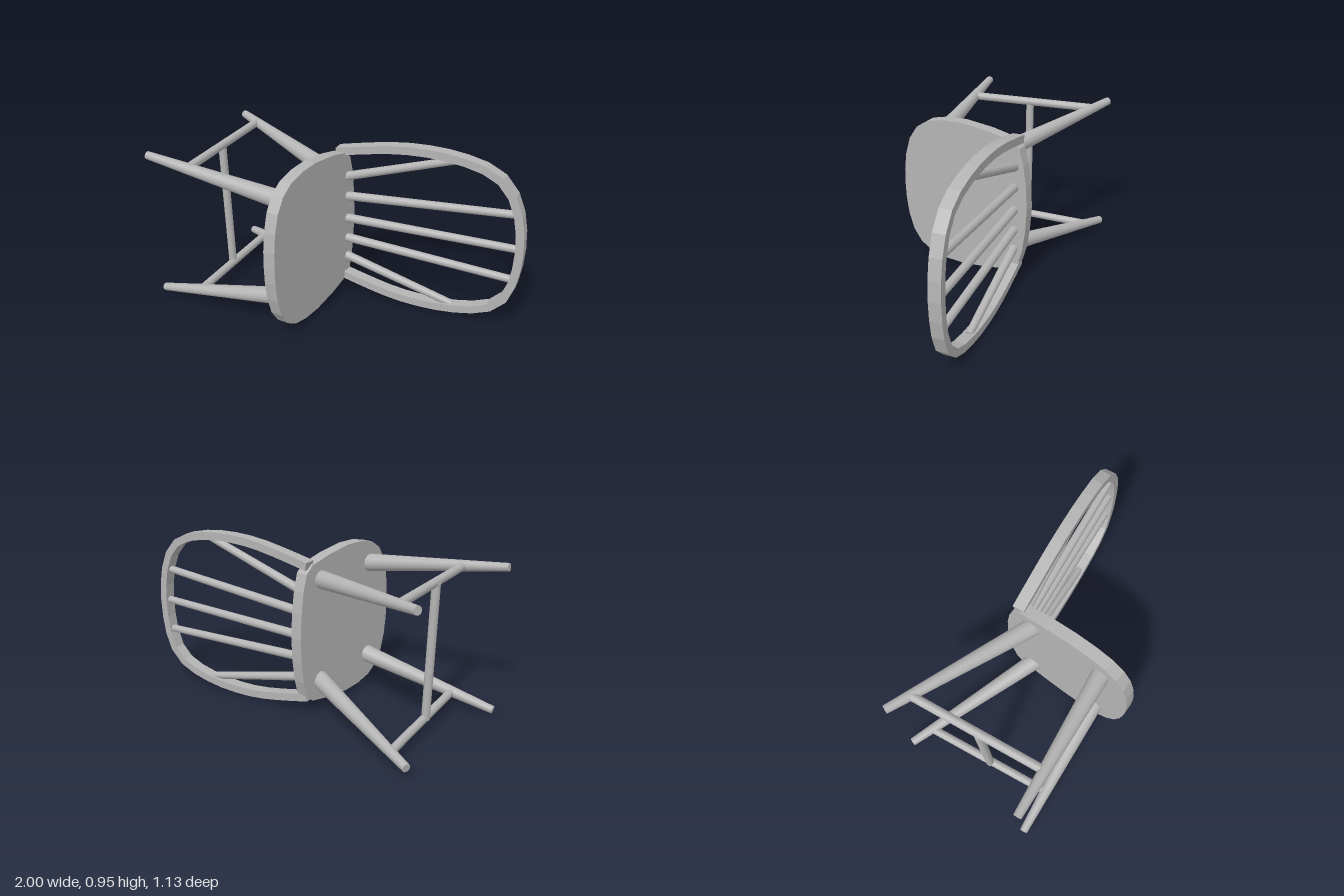
import * as THREE from 'three';

const V = (x, y, z) => new THREE.Vector3(x, y, z);

export function createModel() {
  const chair = new THREE.Group();
  chair.name = 'chair';
  const grey = new THREE.MeshStandardMaterial({ color: 0xb4b4b4 });
  grey.name = 'grey';

  const add = (name, geometry) => {
    const mesh = new THREE.Mesh(geometry, grey);
    mesh.name = name;
    chair.add(mesh);
    return mesh;
  };

  // Round bar between two points, with a radius at each end
  const bar = (name, a, b, ra, rb) => {
    const dir = b.clone().sub(a);
    const mesh = add(name, new THREE.CylinderGeometry(rb, ra, dir.length(), 14));
    mesh.position.copy(a).add(b).multiplyScalar(0.5);
    mesh.quaternion.setFromUnitVectors(V(0, 1, 0), dir.normalize());
  };

  // Board cut from an outline drawn in a tilted upright plane
  const board = (name, outline, depth, along, origin) => {
    const geometry = new THREE.ExtrudeGeometry(new THREE.Shape(outline), { depth, bevelEnabled: false });
    const u = along.normalize(), up = V(0, 1, 0);
    const m = new THREE.Matrix4().makeBasis(u, up, u.clone().cross(up)).setPosition(origin);
    add(name, geometry.applyMatrix4(m));
  };

  // Seat: [distance from rear, half width], mirrored; the chair lies on its side
  const half = [[0, 0], [0.008, 0.14], [0.025, 0.26], [0.05, 0.35], [0.1, 0.39], [0.24, 0.42],
    [0.4, 0.438], [0.52, 0.433], [0.62, 0.41], [0.69, 0.365], [0.74, 0.29], [0.77, 0.19], [0.783, 0.09], [0.786, 0]];
  const mid = 0.467;
  const seat = [
    ...half.map(([s, w]) => new THREE.Vector2(s, mid - w)),
    ...half.slice(1, -1).reverse().map(([s, w]) => new THREE.Vector2(s, mid + w)),
  ];
  board('seat', seat, 0.066, V(-0.277, 0, 0.961), V(0.03, 0, -0.19));

  // Bent back bow: a flat band following a curve, in the leaning plane of the back
  const slope = 0.1746, backZ = -0.117;
  const path = new THREE.CatmullRomCurve3([
    [-0.045, 0.857], [0.12, 0.893], [0.3, 0.924], [0.45, 0.933], [0.61, 0.924], [0.77, 0.888], [0.87, 0.825],
    [0.935, 0.71], [0.965, 0.58], [0.972, 0.46], [0.962, 0.33], [0.93, 0.2], [0.87, 0.12], [0.77, 0.07],
    [0.61, 0.036], [0.45, 0.027], [0.3, 0.036], [0.12, 0.07], [-0.045, 0.11],
  ].map(([x, y]) => V(x * 1.015, y, 0)));
  const outer = [], inner = [];
  for (let i = 0; i <= 26; i++) {
    const p = path.getPointAt(i / 26), t = path.getTangentAt(i / 26);
    outer.push(new THREE.Vector2(p.x - t.y * 0.022, p.y + t.x * 0.022));
    inner.push(new THREE.Vector2(p.x + t.y * 0.022, p.y - t.x * 0.022));
  }
  const lean = V(1, 0, slope).normalize();
  const bowDepth = 0.065;
  const shift = V(-lean.z, 0, lean.x).multiplyScalar(-bowDepth / 2);
  board('backBow', [...outer, ...inner.reverse()], bowDepth, lean, V(0, 0, backZ).add(shift));

  // Fan of five spindles: [base y, tip x, tip y]
  for (const [y0, x1, y1] of [[0.705, 0.61, 0.912], [0.59, 0.945, 0.672], [0.455, 0.965, 0.476],
    [0.332, 0.95, 0.292], [0.22, 0.635, 0.055]]) {
    bar('spindle', V(-0.015, y0, backZ - 0.015 * slope), V(x1, y1, backZ + x1 * slope), 0.025, 0.021);
  }

  // Splayed tapering legs
  bar('frontLeg', V(-1, 0.867, 0.233), V(-0.185, 0.758, 0.37), 0.022, 0.05);
  bar('frontLeg', V(-0.985, 0.051, 0.233), V(-0.185, 0.2, 0.37), 0.022, 0.05);
  bar('backLeg', V(-0.75, 0.857, -0.545), V(-0.065, 0.762, -0.035), 0.023, 0.05);
  bar('backLeg', V(-0.735, 0.062, -0.545), V(-0.06, 0.185, -0.035), 0.023, 0.05);

  // Stretchers in an H between the legs
  bar('sideStretcher', V(-0.755, 0.834, 0.27), V(-0.642, 0.845, -0.45), 0.023, 0.023);
  bar('sideStretcher', V(-0.74, 0.096, 0.27), V(-0.63, 0.08, -0.45), 0.023, 0.023);
  bar('crossStretcher', V(-0.706, 0.84, -0.08), V(-0.693, 0.085, -0.08), 0.023, 0.023);

  return chair;
}
